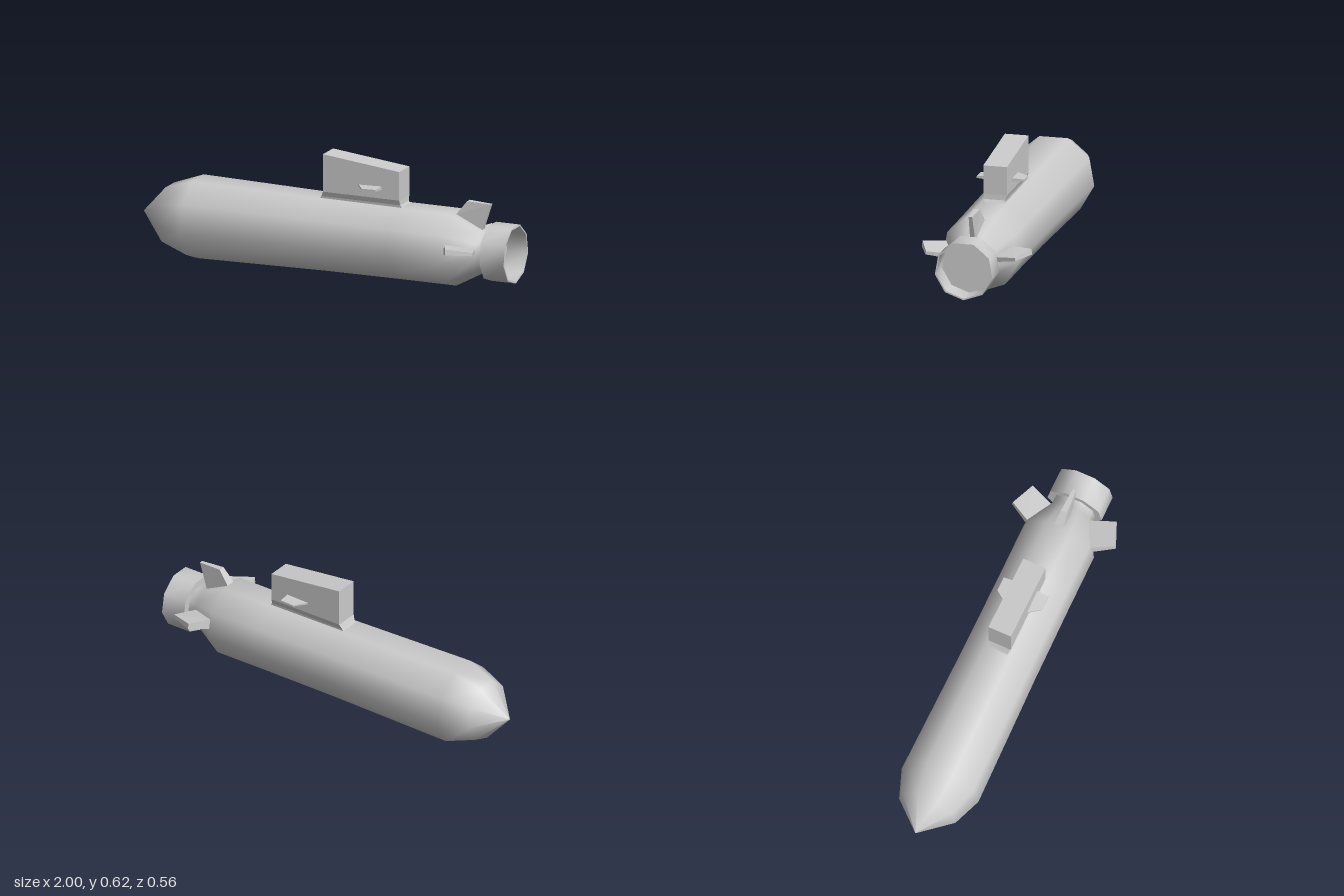
import * as THREE from 'three';
import { toCreasedNormals } from 'three/addons/utils/BufferGeometryUtils.js';

const AXIS_Y = 0.212;
const SIDES = 9;
const grey = new THREE.MeshStandardMaterial({ color: 0xcccccc });

function addMesh(parent, name, geometry) {
  const mesh = new THREE.Mesh(geometry, grey);
  mesh.name = name;
  parent.add(mesh);
  return mesh;
}

// Nine-sided body of revolution along x, one corner pointing straight down.
// profile: [x, radius] pairs
function turned(profile) {
  const points = profile.map(([x, r]) => new THREE.Vector2(r, x));
  return new THREE.LatheGeometry(points, SIDES, Math.PI / 2).rotateZ(-Math.PI / 2);
}

// Flat-faced solid lofted upwards through four-cornered sections.
// section: [leadX, leadY, leadHalfWidth, trailX, trailY, trailHalfWidth]
function loft(sections) {
  const rings = sections.map(([x0, y0, w0, x1, y1, w1]) => [
    [x0, y0, w0], [x1, y1, w1], [x1, y1, -w1], [x0, y0, -w0],
  ]);
  const pos = [];
  const quad = (a, b, c, d) => pos.push(...a, ...b, ...c, ...a, ...c, ...d);
  for (let k = 0; k < rings.length - 1; k++) {
    const low = rings[k], high = rings[k + 1];
    for (let i = 0; i < 4; i++) {
      const j = (i + 1) % 4;
      quad(low[i], low[j], high[j], high[i]);
    }
  }
  quad(...rings[rings.length - 1]);
  quad(...[...rings[0]].reverse());
  const geometry = new THREE.BufferGeometry();
  geometry.setAttribute('position', new THREE.Float32BufferAttribute(pos, 3));
  geometry.computeVertexNormals();
  return geometry;
}

export function createModel() {
  const model = new THREE.Group();
  model.name = 'submarine';

  // Hull with pointed bow and tapered stern
  const hull = addMesh(model, 'hull', turned([
    [-1, 0], [-0.86, 0.154], [-0.71, 0.21], [-0.03, 0.197],
    [0.4, 0.194], [0.68, 0.194], [0.83, 0.112], [0.885, 0.112],
  ]));
  hull.position.y = AXIS_Y;

  // Propeller shroud: thin open ring closed by a disc at its forward end
  const shroud = addMesh(model, 'propellerShroud', toCreasedNormals(turned([
    [0.87, 0], [0.87, 0.148], [1, 0.148], [1, 0.14], [0.89, 0.14], [0.89, 0],
  ]), 0.8));
  shroud.position.y = AXIS_Y;

  // Sail, flared in length where it meets the deck
  addMesh(model, 'sail', loft([
    [-0.035, 0.385, 0.05, 0.415, 0.385, 0.05],
    [-0.022, 0.407, 0.052, 0.402, 0.407, 0.052],
    [-0.01, 0.432, 0.06, 0.4, 0.432, 0.06],
    [-0.01, 0.622, 0.06, 0.4, 0.577, 0.06],
  ]));

  // Diving planes on both sides of the sail
  for (const side of [1, -1]) {
    const plane = addMesh(model, side > 0 ? 'frontDivingPlane' : 'backDivingPlane', loft([
      [0.175, 0.05, 0.005, 0.305, 0.05, 0.009],
      [0.225, 0.12, 0.003, 0.3, 0.12, 0.005],
    ]));
    plane.position.y = 0.485;
    plane.rotation.x = side * Math.PI / 2;
  }

  // Upright rudder
  const rudder = addMesh(model, 'rudder', loft([
    [0.69, 0.175, 0.025, 0.825, 0.105, 0.013],
    [0.745, 0.245, 0.016, 0.87, 0.24, 0.009],
  ]));
  rudder.position.y = AXIS_Y;

  // Stern planes, two hull facets round from the rudder
  for (const side of [1, -1]) {
    const fin = addMesh(model, side > 0 ? 'frontSternPlane' : 'backSternPlane', loft([
      [0.69, 0.175, 0.025, 0.825, 0.105, 0.013],
      [0.745, 0.282, 0.014, 0.87, 0.23, 0.008],
    ]));
    fin.position.y = AXIS_Y;
    fin.rotation.x = side * THREE.MathUtils.degToRad(80);
  }

  return model;
}
